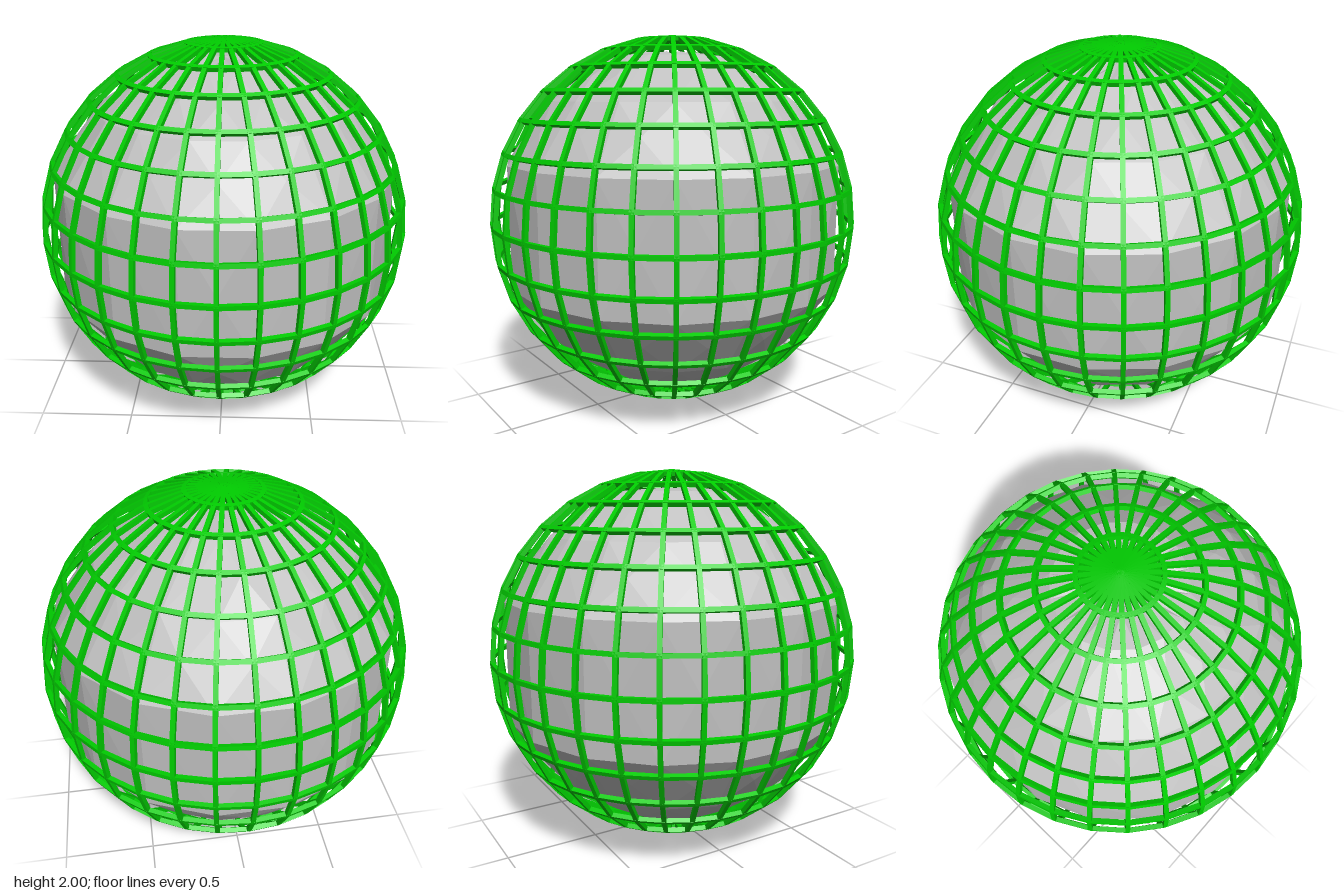
import * as THREE from 'three';
import { mergeGeometries } from 'three/addons/utils/BufferGeometryUtils.js';

const SIDES = 32;      // meridians, and segments of every hoop
const R = 0.988;       // centre line of the cage bars
const BAR = 0.0115;    // half thickness of a bar

function faceted(geo) {
  const g = geo.toNonIndexed();
  g.computeVertexNormals();
  return g;
}

// Square-section polygonal hoop around y, tilted to follow the sphere
function hoop(lat) {
  const c = Math.cos(lat), s = Math.sin(lat);
  const corner = (u, v) => new THREE.Vector2(R * c + BAR * (u * c - v * s), R * s + BAR * (u * s + v * c));
  const profile = [corner(1, -1), corner(1, 1), corner(-1, 1), corner(-1, -1), corner(1, -1)];
  return faceted(new THREE.LatheGeometry(profile, SIDES));
}

// Panelled core: each panel is a very shallow pyramid
function corePanels() {
  let seed = 7;
  const rand = () => (seed = (seed * 16807) % 2147483647) / 2147483647;
  const profile = [[0, -0.9], [0.32, -0.88], [0.67, -0.65], [0.912, -0.325],
    [0.912, 0.325], [0.67, 0.65], [0.32, 0.88], [0, 0.9]];
  const n = 16, pos = [];
  const point = ([r, y], j) => {
    const a = (j - 0.5) / n * Math.PI * 2;
    return new THREE.Vector3(r * Math.sin(a), y, r * Math.cos(a));
  };
  const tri = (...p) => p.forEach(v => pos.push(v.x, v.y, v.z));
  for (let i = 0; i < profile.length - 1; i++) {
    for (let j = 0; j < n; j++) {
      const q = [point(profile[i], j), point(profile[i], j + 1), point(profile[i + 1], j + 1), point(profile[i + 1], j)];
      const mid = new THREE.Vector3();
      q.forEach(v => mid.addScaledVector(v, 0.25));
      mid.multiplyScalar(1 + rand() * 0.02);
      for (let k = 0; k < 4; k++) {
        const a = q[k], b = q[(k + 1) % 4];
        if (a.distanceTo(b) > 1e-6) tri(a, b, mid);
      }
    }
  }
  const g = new THREE.BufferGeometry();
  g.setAttribute('position', new THREE.Float32BufferAttribute(pos, 3));
  g.computeVertexNormals();
  return g;
}

export function createModel() {
  const green = new THREE.MeshStandardMaterial({ color: 0x00cc00 });
  green.name = 'cage green';
  const grey = new THREE.MeshStandardMaterial({ color: 0xc0c0c0 });
  grey.name = 'core grey';

  const model = new THREE.Group();
  model.name = 'cagedSphere';
  const add = (name, geo, mat) => {
    const mesh = new THREE.Mesh(geo, mat);
    mesh.name = name;
    mesh.position.y = 1;
    model.add(mesh);
  };

  // Horizontal hoops at equal steps of latitude
  const rings = [];
  for (let i = -7; i <= 7; i++) rings.push(hoop(i * Math.PI / 16));
  add('latitudeHoops', mergeGeometries(rings), green);

  // Vertical hoops meeting at the poles
  const meridians = [];
  for (let i = 0; i < SIDES / 2; i++) {
    meridians.push(hoop(0).rotateX(Math.PI / 2).rotateY(i * Math.PI * 2 / SIDES));
  }
  add('meridianHoops', mergeGeometries(meridians), green);

  // Inner body
  add('core', corePanels(), grey);
  return model;
}
